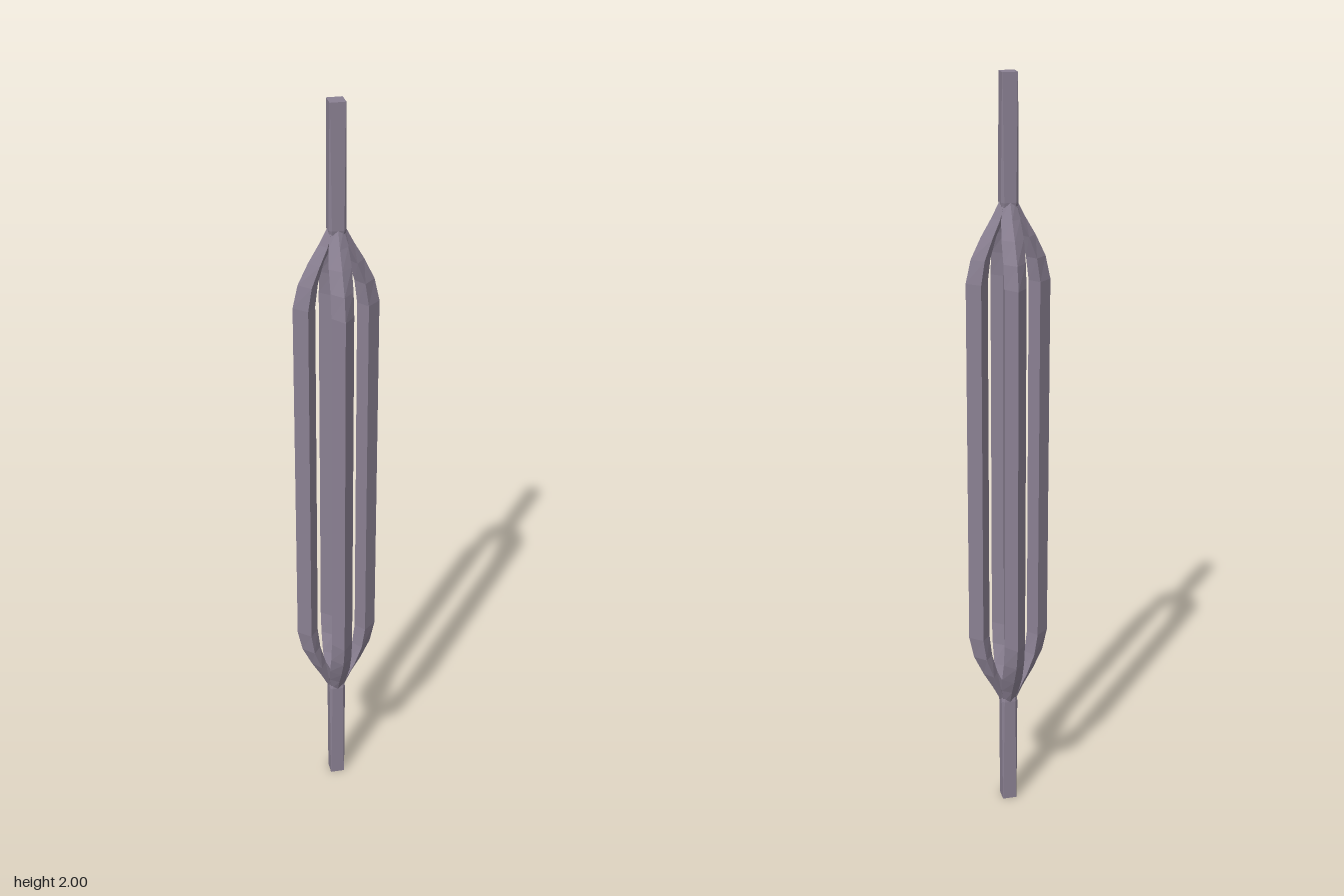
import * as THREE from 'three';

// Skin a stack of rings (bottom to top, each counter-clockwise seen from above) and cap both ends
function loft(rings) {
  const pos = [];
  const tri = (...pts) => pts.forEach((p) => pos.push(...p));
  const n = rings[0].length;
  for (let i = 0; i < rings.length - 1; i++) {
    for (let j = 0; j < n; j++) {
      const k = (j + 1) % n;
      const [a, b, c, d] = [rings[i][j], rings[i][k], rings[i + 1][k], rings[i + 1][j]];
      tri(a, b, c);
      tri(a, c, d);
    }
  }
  const low = rings[0], high = rings[rings.length - 1];
  for (let j = 1; j < n - 1; j++) {
    tri(low[0], low[j + 1], low[j]);
    tri(high[0], high[j], high[j + 1]);
  }
  const geo = new THREE.BufferGeometry();
  geo.setAttribute('position', new THREE.Float32BufferAttribute(pos, 3));
  geo.computeVertexNormals();
  return geo;
}

// Eight-sided rod ring: flats at distance r, each flat reaching s to either side
function rodRing(y, r, s) {
  return [[r, s], [s, r], [-s, r], [-r, s], [-r, -s], [-s, -r], [s, -r], [r, -s]]
    .map(([x, z]) => [x, y, -z]);
}

// Kite-shaped rib ring: outer ridge, side edges and inner ridge
function ribRing([y, outer, side, inner, w]) {
  return [[outer, y, 0], [side, y, -w], [inner, y, 0], [side, y, w]];
}

export function createModel() {
  const group = new THREE.Group();
  const material = new THREE.MeshStandardMaterial({ color: 0x8a8092, flatShading: true });
  const add = (name, geometry) => {
    const mesh = new THREE.Mesh(geometry, material);
    mesh.name = name;
    group.add(mesh);
    return mesh;
  };

  // Straight end rods: square at the tip, eight-sided where the ribs join
  const rod = [[1.65, 0.015, 0.011], [1.69, 0.022, 0.015], [2, 0.0195, 0.0185]];
  add('upperRod', loft(rod.map(([y, r, s]) => rodRing(y, r, s))));
  add('lowerRod', loft(rod.map(([y, r, s]) => rodRing(2 - y, r, s)).reverse()));

  // Four ribs that bow out between the rods: y, outer, side, inner, half width
  const upper = [
    [1.49, 0.108, 0.075, 0.052, 0.028],
    [1.55, 0.095, 0.066, 0.045, 0.028],
    [1.605, 0.069, 0.046, 0.03, 0.028],
    [1.65, 0.043, 0.026, 0.009, 0.024],
    [1.695, 0.02, 0.012, 0, 0.016],
  ];
  const lower = upper.map(([y, ...rest]) => [2 - y, ...rest]).reverse();
  const ribGeometry = loft([...lower, ...upper].map(ribRing));
  ['leftRib', 'backRib', 'rightRib', 'frontRib'].forEach((name, i) => {
    add(name, ribGeometry).rotation.y = (i * Math.PI) / 2;
  });

  return group;
}
